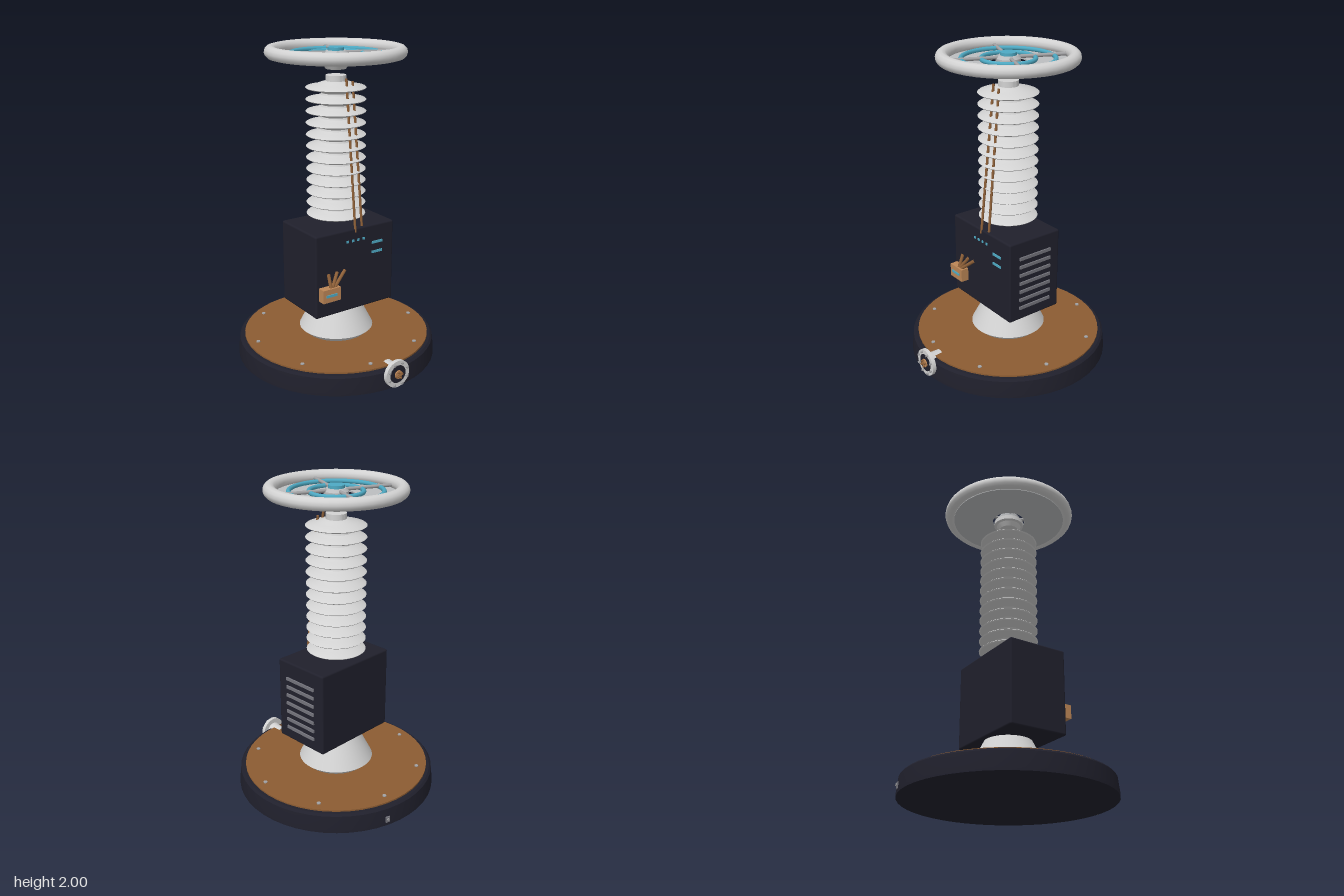
import * as THREE from 'three';
import { toCreasedNormals } from 'three/addons/utils/BufferGeometryUtils.js';
import { RoundedBoxGeometry } from 'three/addons/geometries/RoundedBoxGeometry.js';

const mat = (name, color) => Object.assign(new THREE.MeshStandardMaterial({ color }), { name });

export function createModel() {
  const M = {
    ceramic: mat('ceramic', 0xd2d2d2),
    plate: mat('plate grey', 0xbcbec0),
    steel: mat('steel', 0xa2a2a4),
    dark: mat('dark enamel', 0x20202c),
    wood: mat('brown board', 0x8c5c32),
    copper: mat('copper', 0x8e6038),
    tan: mat('tan', 0xbc8656),
    blue: mat('blue', 0x4eaac4),
    vent: mat('vent grey', 0x74747c),
  };
  const model = new THREE.Group();
  model.name = 'insulatorColumn';
  // Everything turned on the main axis sits slightly behind the centre
  const AXIS = -0.025;
  const axial = new THREE.Group();
  axial.name = 'axialParts';
  axial.position.z = AXIS;
  model.add(axial);

  const add = (parent, name, geo, material, x = 0, y = 0, z = 0) => {
    const mesh = new THREE.Mesh(geo, material);
    mesh.name = name;
    mesh.position.set(x, y, z);
    parent.add(mesh);
    return mesh;
  };
  const lathe = (pts, seg = 48) => toCreasedNormals(
    new THREE.LatheGeometry(pts.map(([r, y]) => new THREE.Vector2(r, y)), seg), 0.5);
  const cyl = (r, h, seg = 24) => new THREE.CylinderGeometry(r, r, h, seg);
  const box = (w, h, d) => new THREE.BoxGeometry(w, h, d);
  const rod = (parent, name, a, b, r, material) => {
    const p = new THREE.Vector3(...a), q = new THREE.Vector3(...b);
    const mesh = add(parent, name, cyl(r, p.distanceTo(q), 10), material);
    mesh.position.copy(p).lerp(q, 0.5);
    mesh.quaternion.setFromUnitVectors(new THREE.Vector3(0, 1, 0), q.sub(p).normalize());
    return mesh;
  };

  // Base drum, board and its bolts
  add(axial, 'base', lathe([[0, 0], [0.648, 0], [0.648, 0.02], [0.638, 0.112], [0.625, 0.125], [0, 0.125]]), M.dark);
  add(axial, 'baseBoard', cyl(0.605, 0.012, 48), M.wood, 0, 0.129, 0);
  for (let i = 0; i < 8; i++) {
    const a = 0.203 + i * Math.PI / 4;
    add(axial, 'baseBolt', cyl(0.013, 0.008, 8), M.steel, Math.cos(a) * 0.543, 0.137, Math.sin(a) * 0.543);
  }

  // Pedestal
  add(axial, 'pedestal', lathe([[0, 0.133], [0.2, 0.133], [0.242, 0.17], [0.145, 0.36], [0, 0.36]]), M.ceramic);

  // Ribbed insulator: one repeated shed profile
  const sheds = [[0, 0.93], [0.1, 0.93]];
  for (let i = 0; i < 12; i++) {
    const y = 0.947 + i * 0.0726;
    if (i) sheds.push([0.09, y - 0.032], [0.105, y - 0.017]);
    sheds.push([0.18, y - 0.006], [0.187, y], [0.18, y + 0.006], [0.125, y + 0.018], [0.095, y + 0.03]);
  }
  sheds.push([0.063, 1.785], [0.063, 1.82], [0, 1.82]);
  add(axial, 'insulator', lathe(sheds), M.ceramic);

  // Head: neck, rim, open-centred plate, coils, spokes and hub
  add(axial, 'neck', lathe([[0, 1.857], [0.062, 1.857], [0.08, 1.885], [0.097, 1.89], [0.097, 1.917], [0, 1.917]]), M.ceramic);
  add(axial, 'headRim', new THREE.TorusGeometry(0.393, 0.039, 12, 40), M.ceramic, 0, 1.961, 0).rotation.x = Math.PI / 2;
  add(axial, 'headPlate', lathe([[0.107, 1.926], [0.37, 1.926], [0.37, 1.936], [0.107, 1.936], [0.107, 1.926]]), M.plate);
  for (const r of [0.162, 0.282]) {
    add(axial, 'coilRing', new THREE.TorusGeometry(r, 0.014, 8, 40), M.blue, 0, 1.948, 0).rotation.x = Math.PI / 2;
  }
  for (let i = 0; i < 4; i++) {
    const a = 0.409 + i * Math.PI / 2, c = Math.cos(a), s = Math.sin(a);
    rod(axial, 'spoke', [c * 0.05, 1.955, s * 0.05], [c * 0.365, 1.955, s * 0.365], 0.011, M.steel);
  }
  add(axial, 'hub', lathe([[0, 1.91], [0.075, 1.91], [0.075, 1.95], [0.06, 1.968], [0, 1.968]], 32), M.plate);
  add(axial, 'hubCap', cyl(0.05, 0.02), M.blue, 0, 1.976, 0);

  // Control cabinet
  const cabinet = new THREE.Group();
  cabinet.name = 'cabinet';
  model.add(cabinet);
  add(cabinet, 'cabinetBody', new RoundedBoxGeometry(0.592, 0.542, 0.392, 2, 0.012), M.dark, 0, 0.626, -0.005);
  for (let i = 0; i < 7; i++) add(cabinet, 'vent', box(0.016, 0.02, 0.243), M.vent, 0.297, 0.44 + i * 0.0573, -0.005);
  for (let i = 0; i < 4; i++) add(cabinet, 'indicator', box(0.015, 0.015, 0.008), M.blue, -0.062 + i * 0.041, 0.82, 0.192);
  for (const y of [0.714, 0.778]) add(cabinet, 'display', box(0.08, 0.016, 0.008), M.blue, 0.166, y, 0.192);

  // Terminal box with fanned leads
  add(cabinet, 'terminalBox', box(0.127, 0.086, 0.056), M.tan, -0.212, 0.518, 0.216);
  add(cabinet, 'terminalSlot', box(0.08, 0.016, 0.008), M.blue, -0.215, 0.518, 0.245);
  for (const [x0, x1] of [[-0.207, -0.205], [-0.2, -0.14], [-0.187, -0.082]]) {
    rod(cabinet, 'terminalLead', [x0, 0.55, 0.225], [x1, 0.64, 0.192], 0.011, M.copper);
  }

  // Twin cables running up the insulator
  rod(model, 'cable', [0, 0.87, 0.188], [0, 1.81, 0.085], 0.008, M.copper);
  rod(model, 'cable', [0.06, 0.89, 0.173], [0.048, 1.79, 0.083], 0.008, M.copper);

  // Front port, turned about an axis pointing forwards
  const port = new THREE.Group();
  port.name = 'frontPort';
  port.position.set(0, 0.092, 0);
  port.rotation.x = Math.PI / 2;
  model.add(port);
  add(port, 'portPipe', lathe([[0, 0.525], [0.049, 0.525], [0.05, 0.58], [0.056, 0.615], [0, 0.615]], 24), M.ceramic);
  add(port, 'portFlange', lathe([[0, 0.613], [0.088, 0.613], [0.088, 0.638], [0.058, 0.638], [0.058, 0.632], [0, 0.632]], 32), M.ceramic);
  add(port, 'portInsert', cyl(0.057, 0.014), M.dark, 0, 0.634, 0);
  add(port, 'portContact', cyl(0.027, 0.012), M.tan, 0, 0.643, 0);
  add(port, 'portPin', cyl(0.007, 0.028, 8), M.copper, 0, 0.654, 0);
  for (let i = 0; i < 8; i++) {
    const a = (i + 0.5) * Math.PI / 4, c = Math.cos(a), s = Math.sin(a);
    add(port, 'portBolt', cyl(0.007, 0.016, 6), M.steel, c * 0.073, 0.643, s * 0.073);
    if (i % 2) add(port, 'portPin', cyl(0.006, 0.022, 8), M.copper, c * 0.019, 0.652, s * 0.019);
  }

  // Grounding lug on the rear of the base
  const lug = new THREE.Group();
  lug.name = 'groundLug';
  lug.rotation.y = Math.PI - 0.28;
  lug.position.y = 0.042;
  axial.add(lug);
  add(lug, 'lugPlate', box(0.028, 0.038, 0.012), M.vent, 0, 0, 0.647);
  add(lug, 'lugBolt', cyl(0.008, 0.008, 8), M.steel, 0, 0.004, 0.655).rotation.x = Math.PI / 2;

  return model;
}
